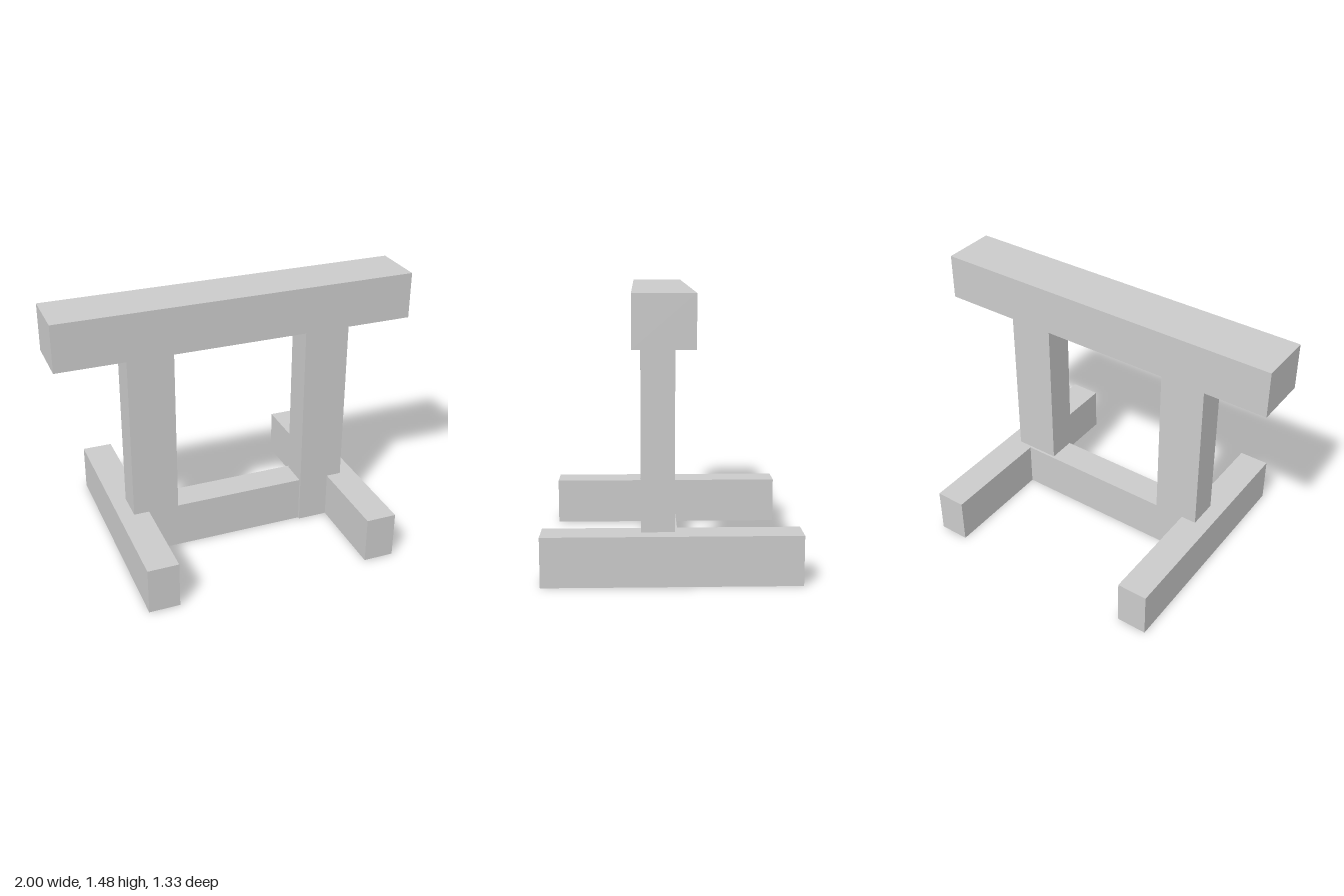
import * as THREE from 'three';

export function createModel() {
  const model = new THREE.Group();
  const material = new THREE.MeshStandardMaterial({ color: 0xcccccc, flatShading: true });

  // Square-edged timber given by its [min, max] range on each axis
  function timber(name, [x0, x1], [y0, y1], [z0, z1]) {
    const mesh = new THREE.Mesh(new THREE.BoxGeometry(x1 - x0, y1 - y0, z1 - z0), material);
    mesh.position.set((x0 + x1) / 2, (y0 + y1) / 2, (z0 + z1) / 2);
    mesh.name = name;
    model.add(mesh);
  }

  const baseTop = 0.262, beamBottom = 1.223;
  const frameZ = [-0.029, 0.143];

  // Floor runners, front to back
  timber('rightFoot', [-0.695, -0.524], [0, baseTop], [-0.666, 0.666]);
  timber('leftFoot', [0.567, 0.738], [0, baseTop], [-0.666, 0.666]);

  // Stretcher joining the feet, flush with the right post
  timber('stretcher', [-0.61, 0.6], [0, baseTop], frameZ);
  timber('rightPost', [-0.61, -0.353], [baseTop, beamBottom], frameZ);

  // Left post reaches the floor and sits slightly forward
  timber('leftPost', [0.396, 0.652], [0, beamBottom], [-0.016, 0.157]);

  // Top beam
  timber('topBeam', [-1, 1], [beamBottom, 1.483], [-0.104, 0.198]);

  return model;
}
